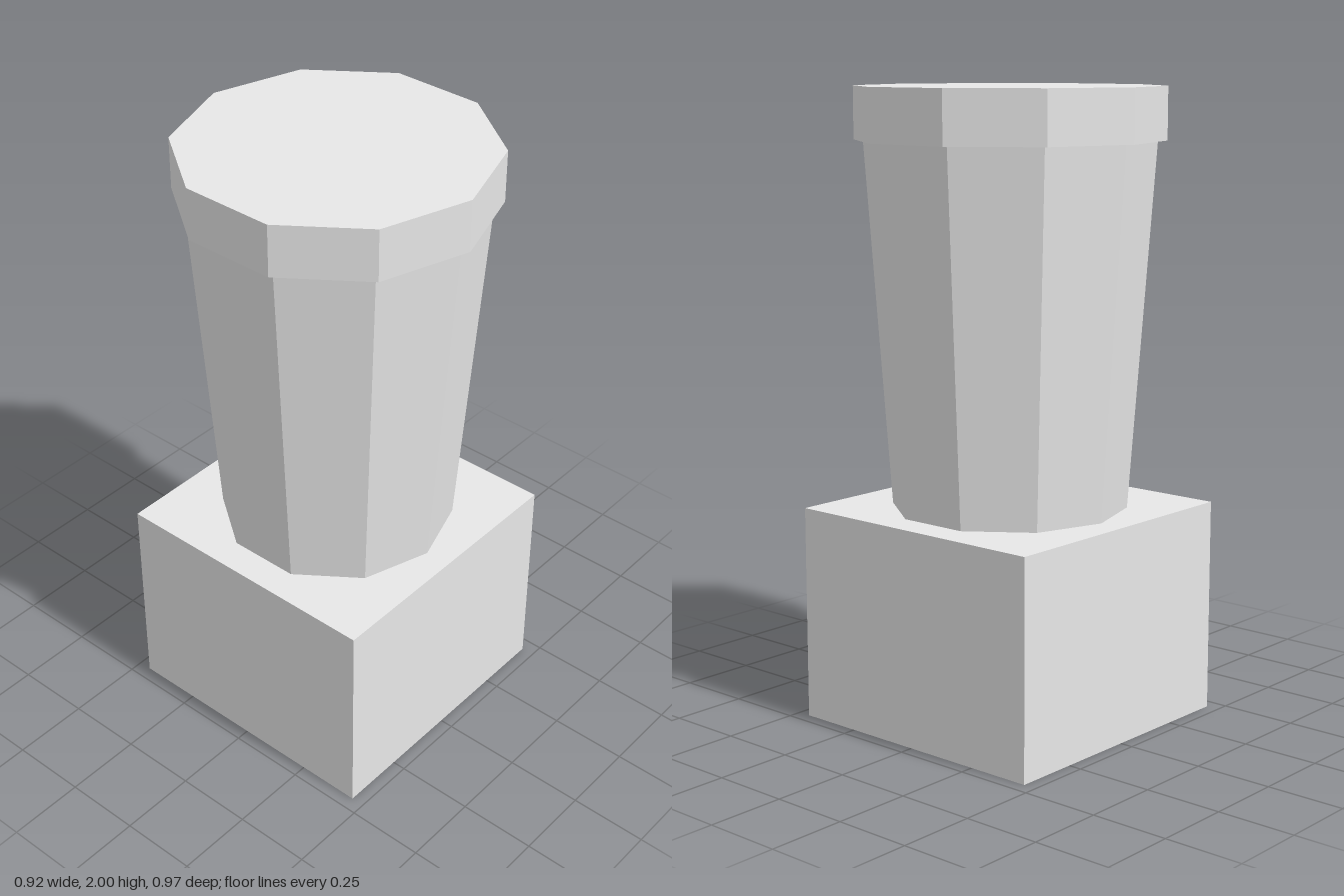
import * as THREE from 'three';

const stone = new THREE.MeshStandardMaterial({ color: 0xe7e7e7, flatShading: true });
stone.name = 'paleStone';

const SIDES = 10;
const BASE_TOP = 0.685;
const RIM_BOTTOM = 1.835;
const TOP = 2;

// Adds a named part standing between two heights
function addPart(group, name, geometry, bottom, top) {
  const mesh = new THREE.Mesh(geometry, stone);
  mesh.name = name;
  mesh.position.y = (bottom + top) / 2;
  group.add(mesh);
}

// Ten-sided drum with a corner facing the front
function drum(topRadius, bottomRadius, bottom, top) {
  return new THREE.CylinderGeometry(topRadius, bottomRadius, top - bottom, SIDES);
}

export function createModel() {
  const model = new THREE.Group();
  model.name = 'pedestalPost';

  // Square block at the foot
  addPart(model, 'base', new THREE.BoxGeometry(0.914, BASE_TOP, 0.914), 0, BASE_TOP);

  // Shaft widening upward
  addPart(model, 'shaft', drum(0.455, 0.373, BASE_TOP, RIM_BOTTOM), BASE_TOP, RIM_BOTTOM);

  // Straight-sided cap, slightly wider than the shaft
  addPart(model, 'cap', drum(0.484, 0.484, RIM_BOTTOM, TOP), RIM_BOTTOM, TOP);

  return model;
}
